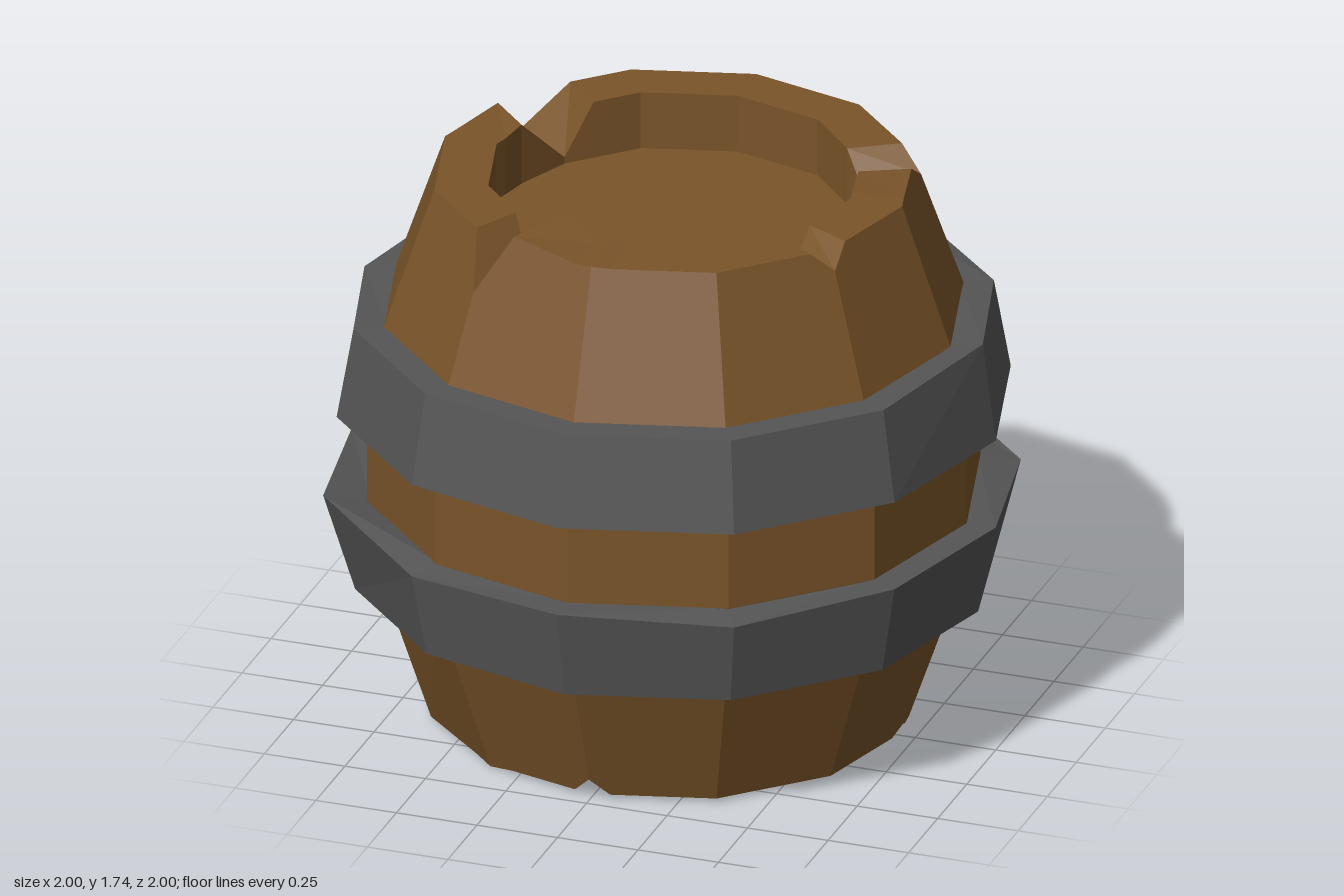
import * as THREE from 'three';

const wood = new THREE.MeshStandardMaterial({ color: 0x7a5429, flatShading: true });
const iron = new THREE.MeshStandardMaterial({ color: 0x555555, flatShading: true });

// Point at an angle (degrees from the front, towards +x)
function polar(deg, r, y) {
  const a = THREE.MathUtils.degToRad(deg);
  return new THREE.Vector3(r * Math.sin(a), y, r * Math.cos(a));
}

// Radius of a twelve-sided ring at any angle
function sided(deg, r) {
  const off = (((deg % 30) + 30) % 30) - 15;
  return r * Math.cos(Math.PI / 12) / Math.cos(THREE.MathUtils.degToRad(off));
}

// Skin closed loops of points, dropping collapsed triangles
function skin(name, rows, material) {
  const pos = [];
  const tri = new THREE.Triangle();
  const add = (a, b, c) => {
    if (tri.set(a, b, c).getArea() > 1e-7) pos.push(...a, ...b, ...c);
  };
  for (let r = 0; r < rows.length - 1; r++) {
    const lo = rows[r], hi = rows[r + 1];
    lo.forEach((p, i) => {
      const j = (i + 1) % lo.length;
      add(p, lo[j], hi[j]);
      add(p, hi[j], hi[i]);
    });
  }
  const geo = new THREE.BufferGeometry();
  geo.setAttribute('position', new THREE.Float32BufferAttribute(pos, 3));
  geo.computeVertexNormals();
  const mesh = new THREE.Mesh(geo, material);
  mesh.name = name;
  return mesh;
}

function barrelBody() {
  // Chips in the top rim: angle -> [outer y, inner angle, inner radius, inner y]
  const topRim = {
    0: [1.715, 0, 0.48, 1.71],
    55: [1.71, 53, 0.55, 1.71], 60: [1.65, 60, 0.56, 1.63], 66: [1.71, 67, 0.54, 1.71],
    113: [1.7, 112, 0.54, 1.7], 120: [1.64, 120, 0.555, 1.62], 126: [1.71, 127, 0.53, 1.71],
    226: [1.71, 226, 0.53, 1.71], 240: [1.51, 236, 0.54, 1.55], 248: [1.715, 256, 0.535, 1.72],
    324: [1.71, 321, 0.54, 1.71], 330: [1.55, 330, 0.555, 1.59], 337: [1.735, 338.5, 0.46, 1.74],
  };
  // Bottom rim: angle -> [outer y, outer radius (optional), inner y]
  const bottomRim = {
    330: [0.002, 0.7, 0.005], 300: [0.01, 0.72, 0.015],
    265.5: [0.03, 0.755, 0.02], 270: [0.1, 0.8, 0.08], 274.5: [0.03, 0.755, 0.02],
  };
  for (const a of [0, 90, 180]) {
    bottomRim[a] = [0.07, null, 0.06];
    bottomRim[(a + 355.5) % 360] = bottomRim[a + 4.5] = [0.015, null, 0.015];
  }
  const base = Array.from({ length: 12 }, (_, k) => k * 30);
  const angles = [...new Set([...base, ...Object.keys(topRim).map(Number),
    ...Object.keys(bottomRim).map(Number)])].sort((a, b) => a - b);

  const ring = (r, y) => angles.map(a => polar(a, sided(a, r), y));
  const top = a => topRim[a] ?? [1.71, a, sided(a, 0.55), 1.71];
  const bottom = a => bottomRim[a] ?? [0.015, null, 0.015];

  return skin('barrelBody', [
    ring(0, 0.19),                                   // underside panel
    ring(0.55, 0.19),
    angles.map(a => polar(a, sided(a, 0.55), bottom(a)[2])),
    angles.map(a => {
      const [y, r] = bottom(a);
      return polar(a, r ?? sided(a, 0.71 + (y - 0.01) * 0.35), y);
    }),
    ring(0.86, 0.44), ring(0.91, 0.72),              // staves
    ring(0.91, 1.0), ring(0.86, 1.28),
    angles.map(a => polar(a, sided(a, 0.86 - (top(a)[0] - 1.28) * 0.35), top(a)[0])),
    angles.map(a => polar(top(a)[1], top(a)[2], top(a)[3])),
    angles.map(a => polar(top(a)[1], top(a)[2], 1.53)),
    ring(0, 1.53),                                   // sunken lid
  ], wood);
}

// Hoop around the staves; dents: corner index -> [top y, top radius]
function hoop(name, low, high, dents) {
  const loop = ({ y, r }) => Array.from({ length: 12 }, (_, k) => polar(k * 30, r, y));
  const rim = Array.from({ length: 12 }, (_, k) => {
    const [y, r] = dents[k] ?? [high.y, high.r];
    return polar(k * 30, r, y);
  });
  return skin(name, [
    loop({ y: low.y, r: low.inner }), loop(low), rim, loop({ y: high.y, r: high.inner }),
  ], iron);
}

export function createModel() {
  const group = new THREE.Group();
  group.name = 'barrel';
  group.add(
    barrelBody(),
    hoop('upperHoop', { y: 1.0, r: 1.0, inner: 0.9 }, { y: 1.28, r: 0.95, inner: 0.85 },
      { 3: [1.305, 0.96], 5: [1.26, 0.96], 9: [1.25, 0.96] }),
    hoop('lowerHoop', { y: 0.44, r: 0.945, inner: 0.85 }, { y: 0.72, r: 1.0, inner: 0.9 },
      { 1: [0.7, 1.0], 4: [0.695, 1.03], 6: [0.735, 1.0], 10: [0.75, 1.04], 11: [0.705, 1.0] }),
  );
  return group;
}
